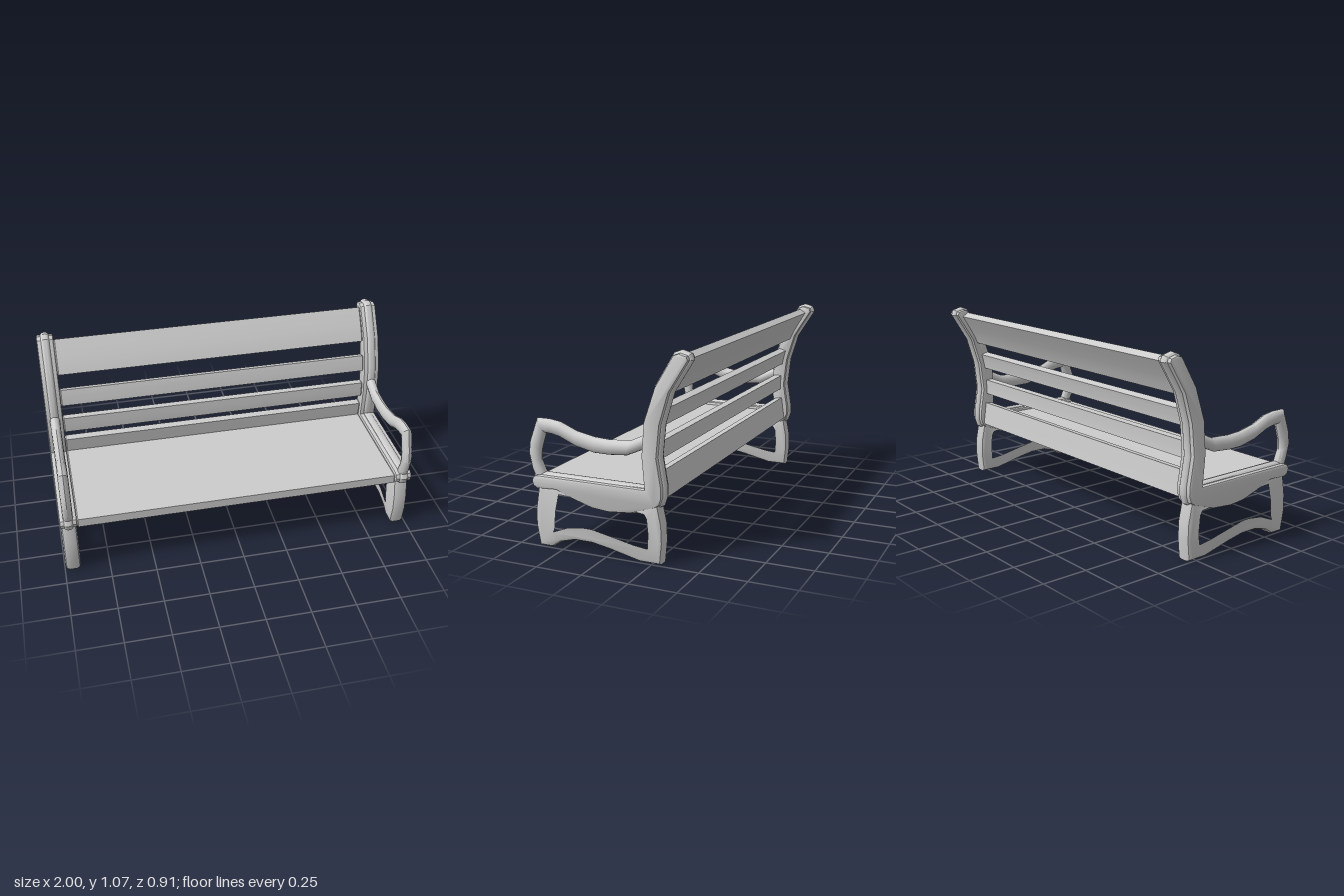
import * as THREE from 'three';
import { toCreasedNormals } from 'three/addons/utils/BufferGeometryUtils.js';

const material = new THREE.MeshStandardMaterial({ color: 0xcccccc });
const END_X = 0.953; // middle of each cast end frame

const toPoints = (list) => list.map(([z, y]) => new THREE.Vector2(z, y));

// Extrudes a (z, y) profile along x, centred, to a total width
function extrudeSide(shape, width, bevelThickness, bevelSize, bevelOffset, bevelSegments = 2) {
  const geometry = new THREE.ExtrudeGeometry(shape, {
    depth: width - 2 * bevelThickness, bevelEnabled: true,
    bevelThickness, bevelSize, bevelOffset, bevelSegments,
  });
  geometry.translate(0, 0, bevelThickness - width / 2);
  geometry.rotateY(-Math.PI / 2);
  return toCreasedNormals(geometry, 0.55);
}

function addMesh(parent, name, geometry) {
  const mesh = new THREE.Mesh(geometry, material);
  mesh.name = name;
  parent.add(mesh);
  return mesh;
}

// Board whose section follows a centre line with constant thickness
function board(centreLine, thickness, width) {
  const pts = toPoints(centreLine);
  const offset = (side) => pts.map((p, i) => {
    const t = pts[Math.min(i + 1, pts.length - 1)].clone().sub(pts[Math.max(i - 1, 0)]).normalize();
    return new THREE.Vector2(p.x - t.y * side * thickness / 2, p.y + t.x * side * thickness / 2);
  });
  const shape = new THREE.Shape([...offset(1), ...offset(-1).reverse()]);
  return extrudeSide(shape, width, 0.012, 0.01, -0.01, 1);
}

// Back post and seat rail in one outline, with a scroll at the front
const frameOutline = [
  [-0.358, 1.052], [-0.395, 1.066], [-0.445, 1.052], [-0.456, 1.021], [-0.355, 0.86],
  [-0.307, 0.703], [-0.29, 0.54], [-0.315, 0.39], [-0.315, 0.342], [-0.3, 0.297],
  [-0.27, 0.28], [-0.138, 0.235], [-0.011, 0.224], [0.08, 0.232], [0.183, 0.263],
  [0.285, 0.3], [0.397, 0.294], [0.425, 0.311], [0.437, 0.345], [0.423, 0.376],
  [0.397, 0.387], [-0.2, 0.387], [-0.186, 0.54], [-0.2, 0.714], [-0.26, 0.889],
];

// Leg loop: two curved legs joined by a wavy floor rail
const legOutline = [
  [0.39, 0.32], [0.41, 0.2], [0.412, 0.11], [0.392, 0], [0.318, 0], [0.27, 0.032],
  [0.186, 0.055], [0.087, 0.055], [-0.011, 0.038], [-0.18, 0], [-0.293, 0],
  [-0.304, 0.11], [-0.301, 0.2], [-0.278, 0.31],
];
const legOpening = [
  [0.285, 0.31], [0.31, 0.2], [0.318, 0.11], [0.33, 0.075], [0.312, 0.06], [0.214, 0.1],
  [0.13, 0.111], [0.087, 0.111], [-0.011, 0.092], [-0.15, 0.064], [-0.228, 0.055],
  [-0.245, 0.066], [-0.25, 0.15], [-0.242, 0.235], [-0.222, 0.27], [-0.1, 0.285],
];

// Armrest: upper and lower edge (z, y, z, y) at each station
const armStations = [
  [-0.23, 0.645, -0.23, 0.565], [-0.19, 0.635, -0.19, 0.565], [-0.12, 0.602, -0.1, 0.525],
  [0, 0.595, 0, 0.517], [0.08, 0.6, 0.08, 0.518], [0.18, 0.62, 0.18, 0.54],
  [0.27, 0.657, 0.27, 0.578], [0.33, 0.666, 0.315, 0.588], [0.403, 0.666, 0.355, 0.592],
  [0.448, 0.545, 0.383, 0.5], [0.457, 0.48, 0.388, 0.445], [0.44, 0.4, 0.36, 0.385],
  [0.415, 0.35, 0.36, 0.34],
];

// Lofts oval rings through the stations
function armGeometry(halfWidth, sides = 12) {
  const positions = [], indices = [];
  armStations.forEach(([zt, yt, zb, yb], i) => {
    for (let j = 0; j < sides; j++) {
      const a = (j / sides) * Math.PI * 2, c = Math.cos(a) / 2;
      positions.push(Math.sin(a) * halfWidth, (yt + yb) / 2 + c * (yt - yb), (zt + zb) / 2 + c * (zt - zb));
      if (i === armStations.length - 1) continue;
      const k = (j + 1) % sides, p = i * sides, q = p + sides;
      indices.push(p + j, q + j, q + k, p + j, q + k, p + k);
    }
  });
  const geometry = new THREE.BufferGeometry();
  geometry.setAttribute('position', new THREE.Float32BufferAttribute(positions, 3));
  geometry.setIndex(indices);
  return toCreasedNormals(geometry, 0.6);
}

export function createModel() {
  const bench = new THREE.Group();
  bench.name = 'bench';

  // End frames
  const frameShape = new THREE.Shape(toPoints(frameOutline));
  const legShape = new THREE.Shape(toPoints(legOutline));
  legShape.holes.push(new THREE.Path(toPoints(legOpening)));
  const parts = {
    framePanel: extrudeSide(frameShape, 0.094, 0.01, 0.008, -0.02),
    frameRidge: extrudeSide(frameShape, 0.05, 0.02, 0.018, -0.018, 3),
    legLoop: extrudeSide(legShape, 0.085, 0.022, 0.02, -0.02),
    armrest: armGeometry(0.028),
  };
  for (const [name, x] of [['leftEnd', END_X], ['rightEnd', -END_X]]) {
    const end = new THREE.Group();
    end.name = name;
    end.position.x = x;
    for (const [part, geometry] of Object.entries(parts)) addMesh(end, part, geometry);
    bench.add(end);
  }

  // Seat board
  addMesh(bench, 'seat', board([[0.408, 0.335], [-0.27, 0.335]], 0.05, 1.824));

  // Back slats, following the curve of the posts
  const backCurve = new THREE.SplineCurve(toPoints([
    [-0.268, 0.31], [-0.25, 0.43], [-0.238, 0.54], [-0.253, 0.71], [-0.306, 0.87], [-0.405, 1.04],
  ]));
  const samples = backCurve.getPoints(200);
  const zAt = (y) => samples.reduce((a, b) => (Math.abs(b.y - y) < Math.abs(a.y - y) ? b : a)).x;
  const slats = [[0.315, 0.45], [0.51, 0.6], [0.68, 0.77], [0.85, 1.025]];
  slats.forEach(([y0, y1], i) => {
    const line = [0, 1, 2, 3, 4].map((k) => {
      const y = y0 + ((y1 - y0) * k) / 4;
      return [zAt(y), y];
    });
    addMesh(bench, `backSlat${i + 1}`, board(line, 0.042, 1.824));
  });

  return bench;
}
